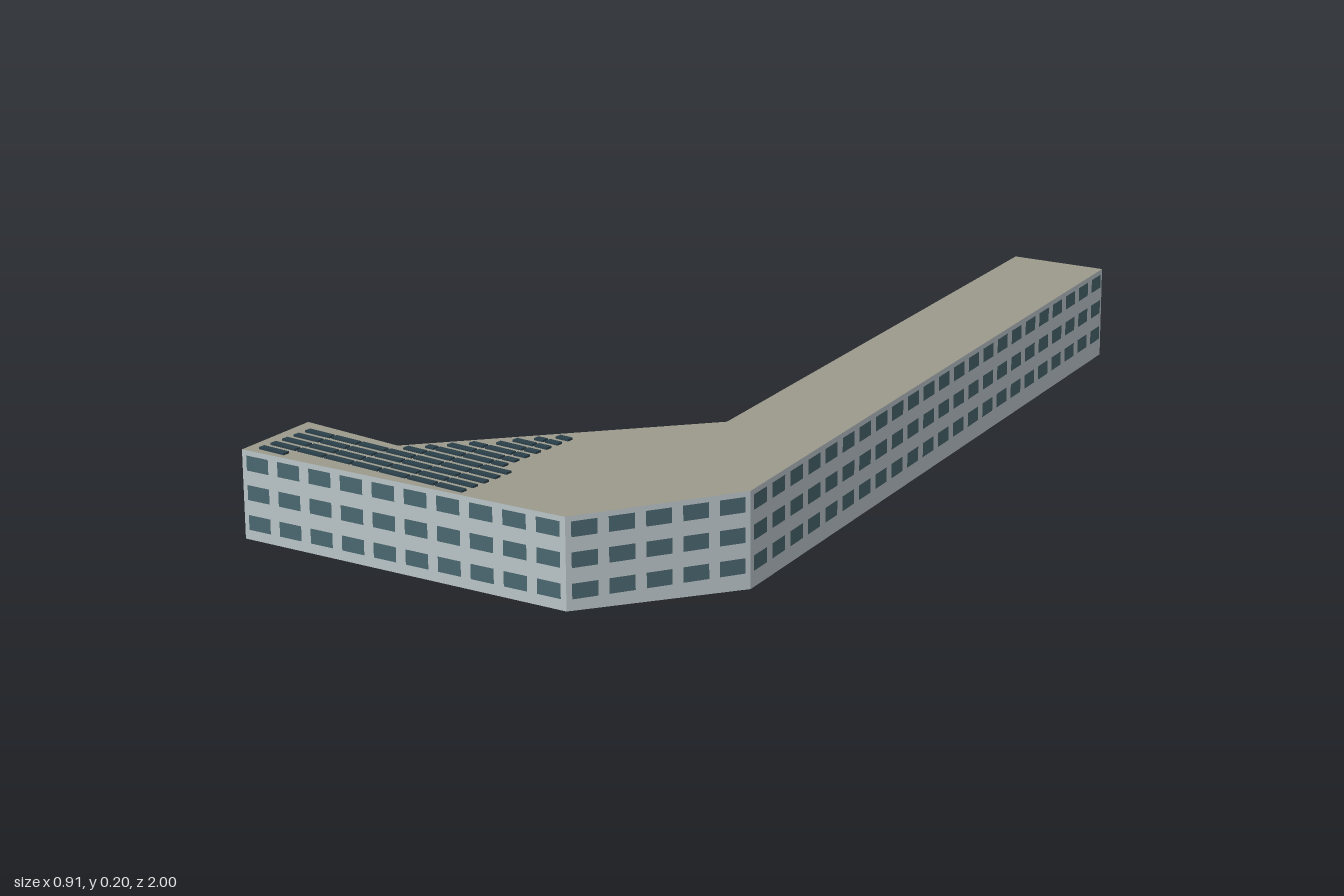
import * as THREE from 'three';
import { mergeGeometries } from 'three/addons/utils/BufferGeometryUtils.js';

const TOP = 0.195;

// Footprint corners, anticlockwise from above: x, z, ground height, windows along the wall that follows
const CORNERS = [
  [-0.02, -0.978, 0.0, 19],
  [0.177, 0.343, 0.0, 9],
  [-0.225, 0.815, 0.0, 3],
  [-0.455, 0.807, 0.003, 3],
  [-0.44, 1.0, 0.022, 10],
  [0.273, 0.942, 0.02, 5],
  [0.45, 0.64, 0.01, 23],
  [0.186, -1.0, 0.003, 0],
];

const mat = (name, color) => {
  const m = new THREE.MeshStandardMaterial({ color });
  m.name = name;
  return m;
};

// Flat-shaded geometry from a list of triangles of points
function facets(points) {
  const g = new THREE.BufferGeometry().setFromPoints(points);
  g.computeVertexNormals();
  return g;
}

export function createModel() {
  const group = new THREE.Group();
  group.name = 'building';
  const wallMat = mat('pale grey wall', 0xb9c4c8);
  const roofMat = mat('olive grey roof', 0x9c9a8b);
  const glassMat = mat('teal window glass', 0x4a666e);
  const panelMat = mat('dark solar panel', 0x2b404b);

  const add = (name, geometry, material) => {
    const mesh = new THREE.Mesh(geometry, material);
    mesh.name = name;
    group.add(mesh);
  };

  const low = CORNERS.map(([x, z, y]) => new THREE.Vector3(x, y, z));
  const high = CORNERS.map(([x, z]) => new THREE.Vector3(x, TOP, z));
  const outline = CORNERS.map(([x, z]) => new THREE.Vector2(x, -z));
  const tris = THREE.ShapeUtils.triangulateShape(outline, []);

  // Roof and sloping underside
  add('roof', facets(tris.flatMap(([a, b, c]) => [high[a], high[b], high[c]])), roofMat);
  add('underside', facets(tris.flatMap(([a, b, c]) => [low[a], low[c], low[b]])), wallMat);

  // Walls
  const wallPoints = [];
  const windows = [];
  CORNERS.forEach(([x, z, , count], i) => {
    const j = (i + 1) % CORNERS.length;
    wallPoints.push(low[i], low[j], high[j], low[i], high[j], high[i]);

    // Three floors of evenly spaced windows on each glazed wall
    const dx = CORNERS[j][0] - x;
    const dz = CORNERS[j][1] - z;
    const length = Math.hypot(dx, dz);
    const out = 0.0015;
    for (let k = 0; k < count; k++) {
      const t = (k + 0.5) / count;
      for (const y of [0.056, 0.114, 0.171]) {
        const pane = new THREE.PlaneGeometry((0.7 * length) / count, 0.029);
        pane.rotateY(Math.atan2(-dz, dx));
        pane.translate(x + dx * t - (dz / length) * out, y, z + dz * t + (dx / length) * out);
        windows.push(pane);
      }
    }
  });
  add('walls', facets(wallPoints), wallMat);
  add('windows', mergeGeometries(windows), glassMat);

  // Rows of solar panels, each running between the sloping inner edge and the east limit
  const panels = [];
  const pitch = 0.0665;
  for (let r = 0; r < 13; r++) {
    const z = 0.606 + r * 0.0307;
    const start = z > 0.83 ? -0.415 : -0.195 + (0.815 - z) * 0.855;
    const end = r === 12 ? -0.35 : z > 0.81 ? 0.05 : 0.013;
    for (let x = -0.415; x < end - 0.005; x += pitch) {
      const x0 = Math.max(x, start);
      const x1 = Math.min(x + pitch - 0.005, end);
      if (x1 - x0 < 0.012) continue;
      const panel = new THREE.BoxGeometry(x1 - x0, 0.004, 0.014);
      panel.translate((x0 + x1) / 2, TOP + 0.0025, z);
      panels.push(panel);
    }
  }
  add('solarPanels', mergeGeometries(panels), panelMat);

  return group;
}
